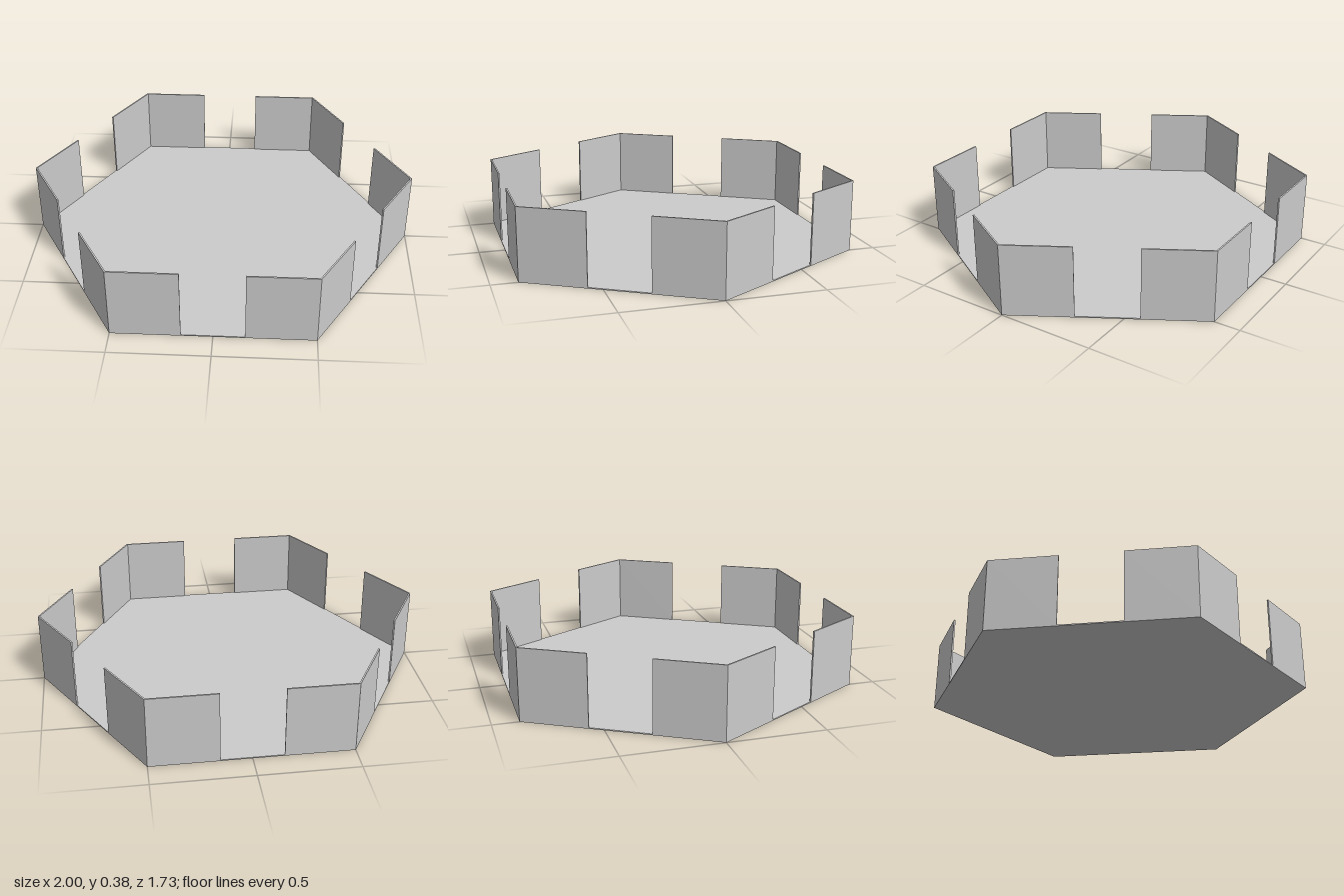
import * as THREE from 'three';

const FLOOR = 0.006;   // floor thickness
const HEIGHT = 0.375;  // overall height
const WALL = 0.008;    // wall thickness
const ARM = 0.345;     // wall length from each corner

export function createModel() {
  const group = new THREE.Group();
  group.name = 'hexagonalTray';
  const material = new THREE.MeshStandardMaterial({ color: 0xcccccc, flatShading: true });

  // Thin hexagonal floor with corners on the x axis
  const floorGeometry = new THREE.CylinderGeometry(1, 1, FLOOR, 6, 1, false, Math.PI / 6);
  floorGeometry.translate(0, FLOOR / 2, 0);
  const floor = new THREE.Mesh(floorGeometry, material);
  floor.name = 'floor';
  group.add(floor);

  // V-shaped corner wall: outer edge, then the inner edge offset by the thickness
  const c = Math.cos(Math.PI / 6), s = 0.5;
  const endX = 1 - ARM * s, endY = ARM * c;
  const profile = new THREE.Shape([
    new THREE.Vector2(endX, -endY),
    new THREE.Vector2(1, 0),
    new THREE.Vector2(endX, endY),
    new THREE.Vector2(endX - WALL * c, endY - WALL * s),
    new THREE.Vector2(1 - WALL / c, 0),
    new THREE.Vector2(endX - WALL * c, -endY + WALL * s),
  ]);
  const wallGeometry = new THREE.ExtrudeGeometry(profile, { depth: HEIGHT - FLOOR, bevelEnabled: false });
  wallGeometry.rotateX(-Math.PI / 2);
  wallGeometry.translate(0, FLOOR, 0);

  // One wall at each corner, leaving a gap in the middle of every side
  for (let i = 0; i < 6; i++) {
    const wall = new THREE.Mesh(wallGeometry, material);
    wall.name = `cornerWall${i + 1}`;
    wall.rotation.y = i * Math.PI / 3;
    group.add(wall);
  }
  return group;
}
